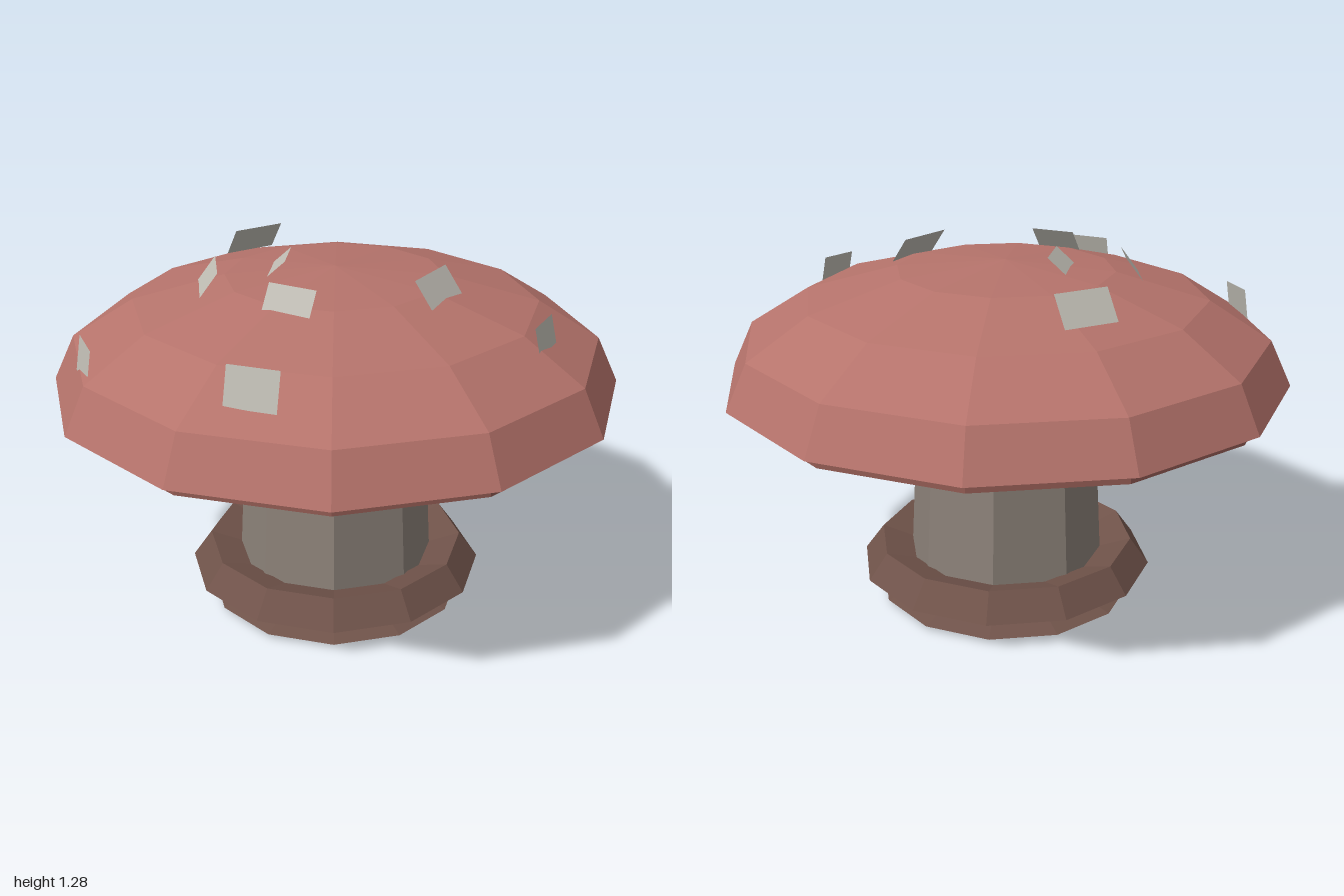
import * as THREE from 'three';

const material = (color) =>
  new THREE.MeshStandardMaterial({ color, flatShading: true, side: THREE.DoubleSide });

function part(name, geometry, mat, y = 0) {
  const mesh = new THREE.Mesh(geometry, mat);
  mesh.name = name;
  mesh.position.y = y;
  return mesh;
}

// Flat fleck: upper edge from p to q, falling outwards by the vector d
function fleckGeometry([p, q, d]) {
  const a = new THREE.Vector3(...p), b = new THREE.Vector3(...q), drop = new THREE.Vector3(...d);
  const geometry = new THREE.BufferGeometry().setFromPoints([a, b, b.clone().add(drop), a.clone().add(drop)]);
  geometry.setIndex([0, 3, 2, 0, 2, 1]);
  geometry.computeVertexNormals();
  return geometry;
}

export function createModel() {
  const group = new THREE.Group();
  const capMat = material(0xb5736b);
  const gillMat = material(0x945c54);
  const stemMat = material(0x8b8178);
  const collarMat = material(0x70534a);
  const fleckMat = material(0xc0bdb4);

  // Flattened dome
  const dome = new THREE.SphereGeometry(1, 12, 4, 0, Math.PI * 2, 0, Math.PI / 2);
  dome.scale(1, 0.42, 1);
  group.add(part('cap', dome, capMat, 0.83));

  // Disc closing the underside of the cap
  group.add(part('capUnderside', new THREE.CylinderGeometry(0.95, 0.95, 0.04, 12), gillMat, 0.81));

  // Tapered stem
  group.add(part('stem', new THREE.CylinderGeometry(0.317, 0.363, 0.82, 8), stemMat, 0.41));

  // Five-sided collar section, left open on its lower outer face
  const section = [];
  for (let i = 0; i < 5; i++) {
    const a = (i / 5) * Math.PI * 2;
    section.push(new THREE.Vector2(0.435 + 0.1 * Math.cos(a), 0.1 * Math.sin(a)));
  }
  section.reverse();
  group.add(part('collar', new THREE.LatheGeometry(section, 12), collarMat, 0.11));

  // Flecks standing off the cap
  const flecks = [
    [[-0.37, 1.265, -0.37], [-0.21, 1.265, -0.48], [-0.04, -0.1, -0.05]],
    [[-0.17, 1.285, 0.07], [-0.155, 1.285, -0.105], [-0.095, -0.085, -0.007]],
    [[-0.39, 1.27, 0.155], [-0.415, 1.275, -0.03], [-0.07, -0.095, 0.01]],
    [[-0.055, 1.28, 0.36], [-0.21, 1.285, 0.29], [-0.026, -0.09, 0.06]],
    [[0.37, 1.285, 0.095], [0.26, 1.285, 0.275], [0.06, -0.095, 0.038]],
    [[0.71, 1.17, 0.26], [0.64, 1.165, 0.39], [0.02, -0.095, 0.012]],
    [[-0.78, 1.09, 0.41], [-0.84, 1.095, 0.27], [-0.018, -0.12, 0.01]],
    [[-0.15, 1.17, 0.765], [-0.315, 1.17, 0.71], [-0.012, -0.125, 0.035]],
  ];
  const fleckGroup = new THREE.Group();
  fleckGroup.name = 'flecks';
  for (const f of flecks) fleckGroup.add(part('fleck', fleckGeometry(f), fleckMat));
  group.add(fleckGroup);

  return group;
}
